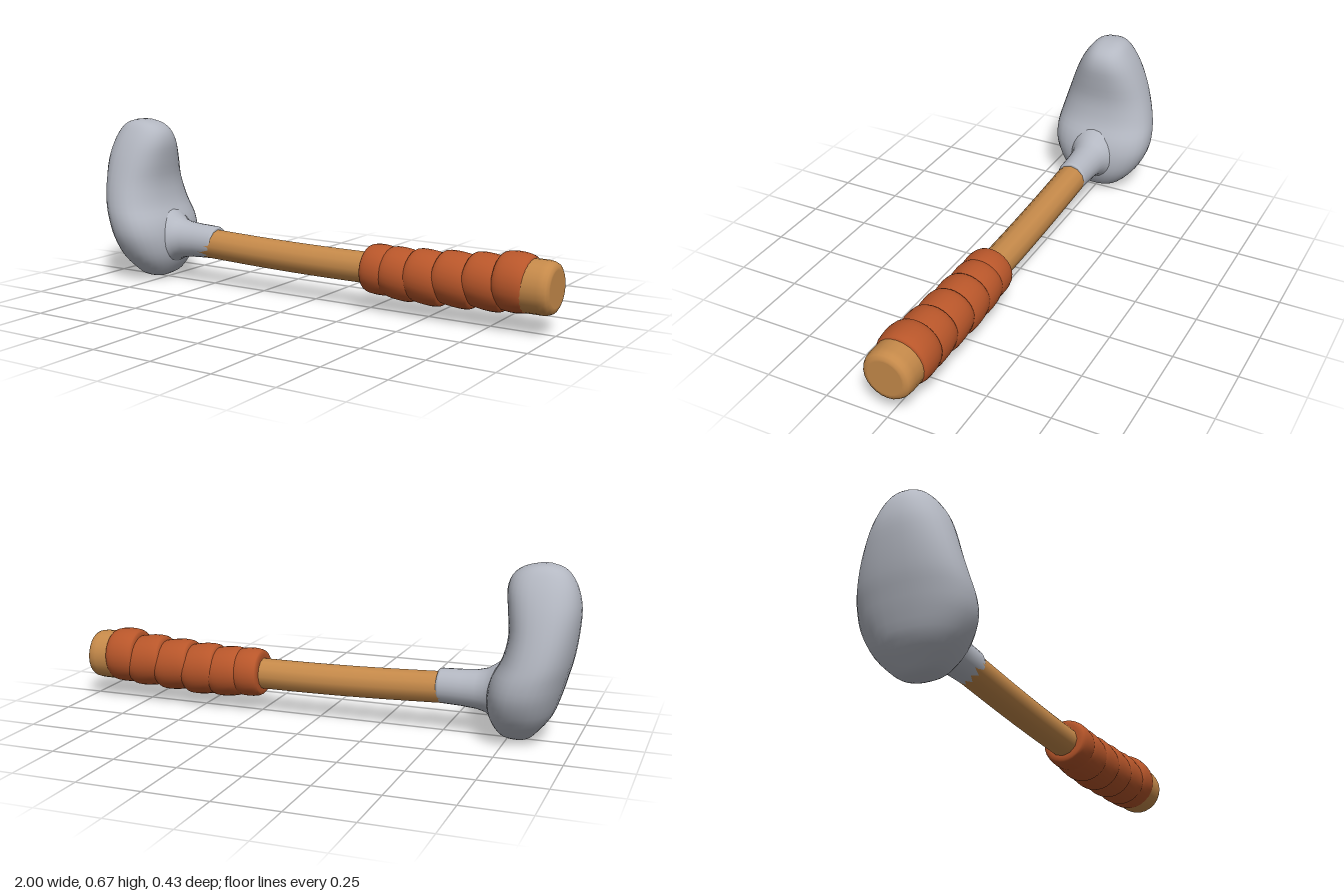
import * as THREE from 'three';

const steel = new THREE.MeshStandardMaterial({ color: 0xb4b8c2 });
steel.name = 'steel';
const wood = new THREE.MeshStandardMaterial({ color: 0xc68a4a });
wood.name = 'wood';
const leather = new THREE.MeshStandardMaterial({ color: 0xb8562a });
leather.name = 'leather';

function addMesh(group, name, geometry, material) {
  const mesh = new THREE.Mesh(geometry, material);
  mesh.name = name;
  group.add(mesh);
  return mesh;
}

// Solid of revolution lying along x; profile is [x, radius] from left to right
function latheX(profile, sides) {
  const points = profile.map(([x, r]) => new THREE.Vector2(r, x));
  return new THREE.LatheGeometry(points, sides).rotateZ(-Math.PI / 2);
}

// Smooth closed head lofted from horizontal sections: [y, xMin, xMax, halfDepth]
function headGeometry() {
  const rows = [
    [0.003, -0.81, -0.77, 0.02], [0.012, -0.835, -0.745, 0.06], [0.035, -0.86, -0.712, 0.103],
    [0.1, -0.912, -0.68, 0.165], [0.18, -0.942, -0.675, 0.206], [0.25, -0.962, -0.692, 0.215],
    [0.32, -0.98, -0.728, 0.205], [0.41, -0.994, -0.746, 0.181], [0.5, -1, -0.738, 0.151],
    [0.57, -0.988, -0.733, 0.12], [0.62, -0.965, -0.748, 0.09], [0.65, -0.935, -0.785, 0.064],
    [0.664, -0.895, -0.835, 0.035],
  ];
  const outer = new THREE.CatmullRomCurve3(
    rows.map(([y, x0, , d]) => new THREE.Vector3(x0, y, d)), false, 'catmullrom');
  const inner = new THREE.CatmullRomCurve3(
    rows.map(([y, , x1, d]) => new THREE.Vector3(x1, y, d)), false, 'catmullrom');
  const rings = 36, sides = 32, pos = [], index = [];
  const power = (v) => Math.sign(v) * Math.pow(Math.abs(v), 2 / 2.3);
  for (let i = 0; i <= rings; i++) {
    const a = outer.getPoint(i / rings), b = inner.getPoint(i / rings);
    for (let j = 0; j < sides; j++) {
      const t = (j / sides) * Math.PI * 2;
      pos.push((a.x + b.x) / 2 + ((b.x - a.x) / 2) * power(Math.cos(t)), a.y, a.z * power(Math.sin(t)));
    }
  }
  for (let i = 0; i < rings; i++) {
    for (let j = 0; j < sides; j++) {
      const k = (j + 1) % sides, p = i * sides, q = p + sides;
      index.push(p + j, q + j, p + k, p + k, q + j, q + k);
    }
  }
  // Close the bottom and top
  const bottom = pos.length / 3, top = bottom + 1, last = rings * sides;
  pos.push(-0.79, 0, 0, -0.866, 0.666, 0);
  for (let j = 0; j < sides; j++) {
    const k = (j + 1) % sides;
    index.push(bottom, j, k, top, last + k, last + j);
  }
  const g = new THREE.BufferGeometry();
  g.setAttribute('position', new THREE.Float32BufferAttribute(pos, 3));
  g.setIndex(index);
  g.computeVertexNormals();
  return g;
}

export function createModel() {
  const model = new THREE.Group();
  model.name = 'hammer';

  // Rounded metal head
  addMesh(model, 'head', headGeometry(), steel);

  // Collar flaring into the head
  const collar = addMesh(model, 'collar', latheX([
    [-0.78, 0.14], [-0.72, 0.122], [-0.69, 0.1], [-0.665, 0.084], [-0.63, 0.075], [-0.57, 0.07],
    [-0.49, 0.067], [-0.48, 0.063], [-0.478, 0.057], [-0.478, 0],
  ], 24), steel);
  collar.position.set(0, 0.174, 0.002);
  collar.scale.z = 0.95;

  // Slightly bowed wooden shaft
  const path = new THREE.CatmullRomCurve3([
    new THREE.Vector3(-0.55, 0.169, 0.004), new THREE.Vector3(-0.2, 0.157, 0),
    new THREE.Vector3(0.05, 0.153, -0.003), new THREE.Vector3(0.32, 0.153, -0.005),
  ]);
  addMesh(model, 'shaft', new THREE.TubeGeometry(path, 12, 0.062, 12), wood);

  // Leather wrap turns: [x, y, radius, half width]
  const grip = new THREE.Group();
  grip.name = 'grip';
  model.add(grip);
  const turns = [
    [0.295, 0.154, 0.097, 0.055], [0.39, 0.148, 0.1, 0.07], [0.5, 0.149, 0.103, 0.075],
    [0.62, 0.156, 0.103, 0.078], [0.742, 0.163, 0.104, 0.078], [0.848, 0.176, 0.111, 0.062],
  ];
  turns.forEach(([x, y, r, w], n) => {
    const profile = [[-w, 0]];
    for (let i = 0; i <= 12; i++) {
      const a = -Math.PI / 2 + (i / 12) * Math.PI;
      profile.push([w * Math.sin(a), r * (0.72 + 0.28 * Math.sqrt(Math.max(0, Math.cos(a))))]);
    }
    profile.push([w, 0]);
    const turn = addMesh(grip, 'wrapTurn' + (n + 1), latheX(profile, 28), leather);
    turn.position.set(x, y, -0.003);
    turn.rotation.z = n === 0 || n === 5 ? -0.04 : -0.13;
  });

  // Rounded wooden butt
  const butt = addMesh(model, 'butt', latheX([
    [0.8, 0.09], [0.86, 0.099], [0.96, 0.099], [0.98, 0.096], [0.992, 0.09], [0.999, 0.078],
    [1, 0.07], [1, 0.069], [1, 0],
  ], 24), wood);
  butt.position.set(0, 0.17, 0);

  return model;
}
